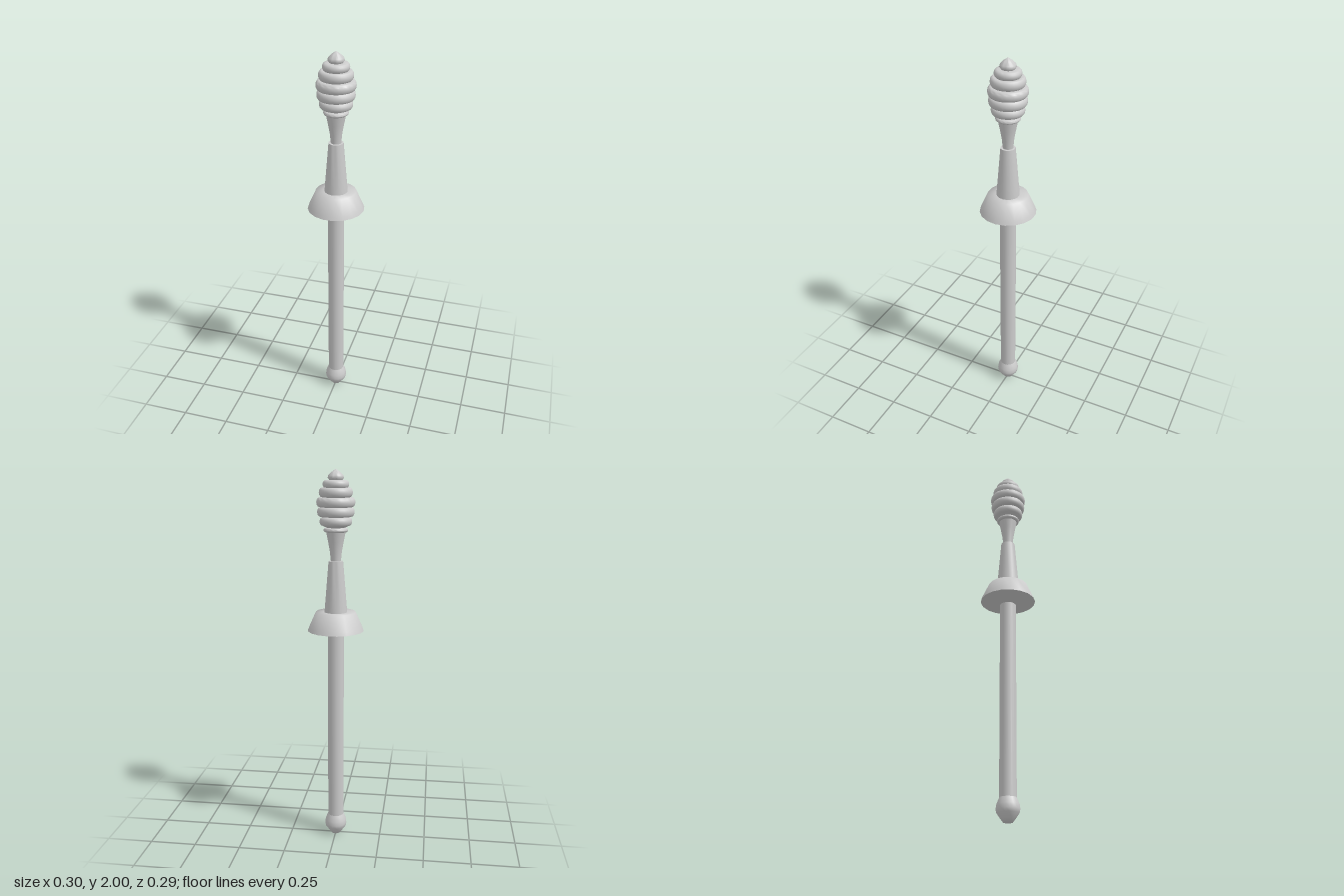
import * as THREE from 'three';
import { toCreasedNormals } from 'three/addons/utils/BufferGeometryUtils.js';

const SIDES = 18;

export function createModel() {
  const model = new THREE.Group();
  const material = new THREE.MeshStandardMaterial({ color: 0xcccccc, side: THREE.DoubleSide });

  // Turned part from [radius, height] pairs listed bottom to top
  function turned(name, profile, crease, sides = SIDES) {
    const points = profile.map(([r, y]) => new THREE.Vector2(r, y));
    let geometry = new THREE.LatheGeometry(points, sides, Math.PI / 2);
    if (crease) geometry = toCreasedNormals(geometry, crease);
    const mesh = new THREE.Mesh(geometry, material);
    mesh.name = name;
    model.add(mesh);
  }

  // Rounded foot and long rod
  turned('footKnob', [
    [0, 0], [0.024, 0], [0.038, 0.018], [0.056, 0.044], [0.06, 0.062],
    [0.057, 0.085], [0.048, 0.107], [0.043, 0.118],
  ]);
  turned('shaft', [[0.043, 0.11], [0.043, 1.18]]);

  // Flared guard: shallow cone beneath, domed skirt above
  turned('guardUnderside', [[0, 1.157], [0.04, 1.157], [0.148, 1.178]]);
  turned('guardSkirt', [[0.148, 1.178], [0.141, 1.196], [0.105, 1.277], [0.05, 1.277]]);

  // Tapered grip, then the neck widening upward
  turned('grip', [[0.06, 1.275], [0.038, 1.542], [0, 1.542]], 0.7);
  turned('neck', [[0.026, 1.54], [0.031, 1.59], [0.04, 1.64], [0.05, 1.69]]);

  // Head: stacked rounded rings, each [radius, centre height, half height]
  const rings = [
    [0.063, 1.7, 0.012], [0.083, 1.743, 0.022], [0.095, 1.79, 0.024],
    [0.099, 1.838, 0.024], [0.086, 1.886, 0.024], [0.067, 1.926, 0.02],
  ];
  const head = [[0, 1.688]];
  for (const [r, y, h] of rings) {
    for (let i = 0; i <= 6; i++) {
      const a = -Math.PI / 2 + (i / 6) * Math.PI;
      head.push([r - 0.016 + 0.016 * Math.cos(a), y + h * Math.sin(a)]);
    }
  }
  // Pointed tip
  head.push([0.033, 1.946], [0.041, 1.957], [0.038, 1.969], [0.022, 1.985], [0, 2]);
  turned('ringedHead', head, 0.9, 32);

  return model;
}
